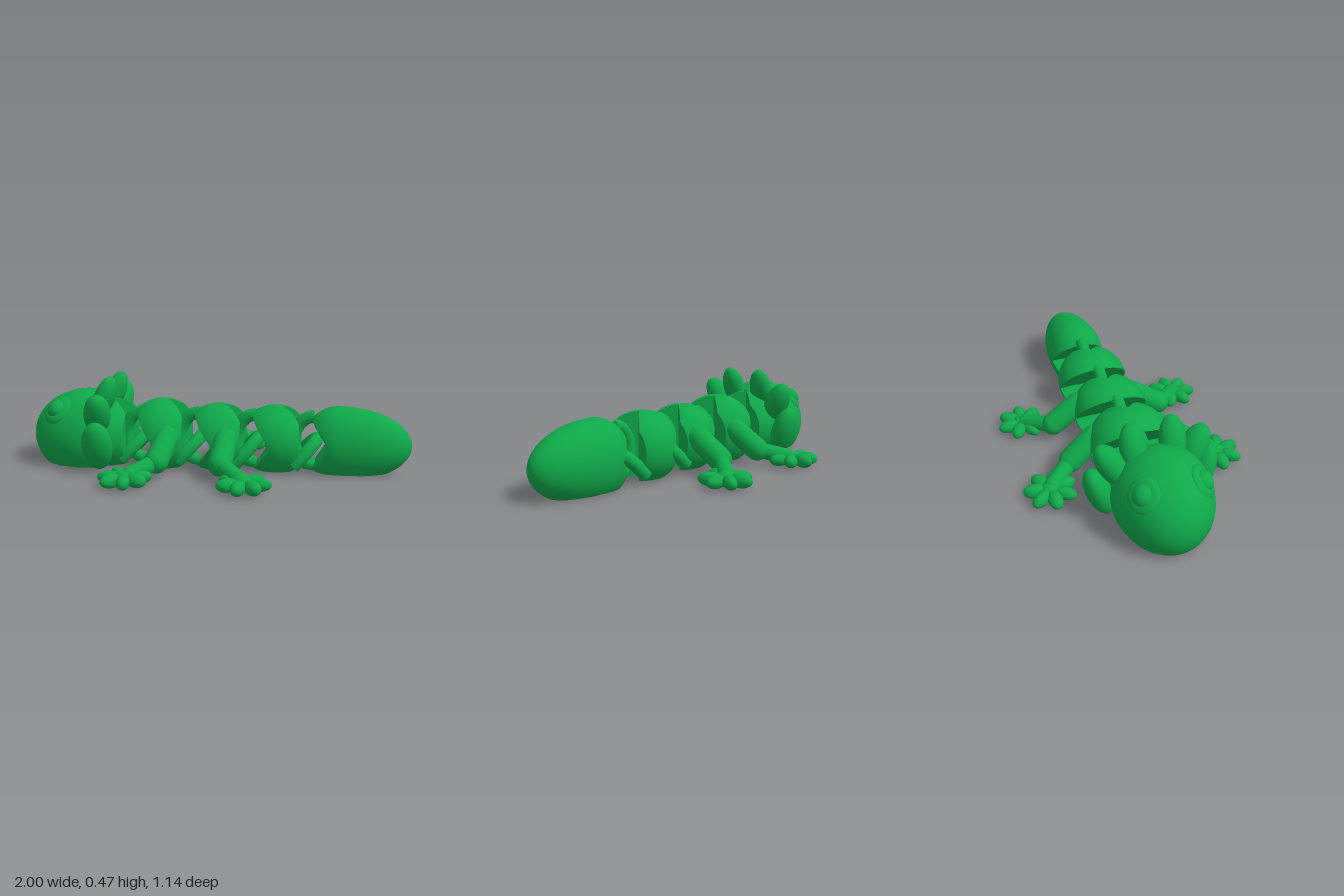
import * as THREE from 'three';
import { toCreasedNormals } from 'three/addons/utils/BufferGeometryUtils.js';

const green = new THREE.MeshStandardMaterial({ color: 0x0fa84a });
const V = (x, y, z) => new THREE.Vector3(x, y, z);

// Move every vertex by a rule, then press whatever is under the floor flat
function finish(geo, name, rule) {
  const p = geo.attributes.position, v = V(0, 0, 0);
  for (let i = 0; i < p.count; i++) {
    v.fromBufferAttribute(p, i);
    if (rule) rule(v);
    p.setXYZ(i, v.x, Math.max(v.y, 0), v.z);
  }
  geo.deleteAttribute('normal');
  const mesh = new THREE.Mesh(toCreasedNormals(geo, 0.6), green);
  mesh.name = name;
  return mesh;
}

// Egg with poles along x, its ends trimmed by front(y) and rear(z)
function bodyPart(name, c, xFront, xRear, ry, rz, front, rear) {
  const geo = new THREE.SphereGeometry(1, 80, 64).rotateZ(Math.PI / 2);
  return finish(geo, name, v => {
    v.set(c.x + v.x * (v.x < 0 ? xFront : xRear), c.y + v.y * ry, v.z * rz);
    if (front) v.x = Math.max(v.x, front(v.y));
    if (rear) v.x = Math.min(v.x, rear(v.z));
  });
}

// Wedge seen from the side (front end) and from above (rear end)
const frontNotch = tip => y => tip - 0.75 * Math.abs(y - 0.14);
const rearNotch = tip => z => Math.min(tip + Math.abs(z), tip + 0.1);

// Ellipsoid with its long axis (local y) along a direction
function blob(name, c, dir, rx, ry, rz) {
  const q = new THREE.Quaternion().setFromUnitVectors(V(0, 1, 0), dir.clone().normalize());
  const geo = new THREE.SphereGeometry(1, 24, 16);
  geo.applyMatrix4(new THREE.Matrix4().compose(c, q, V(rx, ry, rz)));
  return finish(geo, name);
}

// Round-ended limb between two points
function limb(name, a, b, r) {
  const d = b.clone().sub(a);
  const geo = new THREE.CapsuleGeometry(r, d.length(), 8, 24);
  const q = new THREE.Quaternion().setFromUnitVectors(V(0, 1, 0), d.normalize());
  geo.applyMatrix4(new THREE.Matrix4().compose(a.clone().add(b).multiplyScalar(0.5), q, V(1, 1, 1)));
  return finish(geo, name);
}

// Half ring: centre + u*cos + w*sin over half a turn
function halfRing(name, c, u, w, r) {
  const pts = [];
  for (let i = 0; i <= 12; i++) {
    const a = Math.PI * i / 12;
    pts.push(c.clone().addScaledVector(u, Math.cos(a)).addScaledVector(w, Math.sin(a)));
  }
  return finish(new THREE.TubeGeometry(new THREE.CatmullRomCurve3(pts), 32, r, 14), name);
}

function leg(name, hip, knee, ankle, s) {
  const g = new THREE.Group();
  g.name = name;
  const [a, b, c] = [hip, knee, ankle].map(p => V(p[0], p[1], p[2] * s));
  g.add(limb('upperLeg', a, b, 0.06), limb('lowerLeg', b, c, 0.042));
  // Foot: a ring of seven petal toes around a small pad
  const toward = Math.sign(c.x - b.x);
  const foot = V(c.x + toward * 0.02, 0.035, c.z + 0.015 * s);
  g.add(blob('footPad', foot, V(0, 1, 0), 0.05, 0.04, 0.05));
  for (let i = 0; i < 7; i++) {
    const t = 0.2 + i * Math.PI * 2 / 7;
    const dir = V(-toward * Math.sin(t), 0, s * Math.cos(t));
    g.add(blob('toe', foot.clone().addScaledVector(dir, 0.075), dir, 0.033, 0.06, 0.036));
  }
  return g;
}

export function createModel() {
  const model = new THREE.Group();

  // Head and neck share the same notched rear
  const headRear = rearNotch(-0.57);
  model.add(bodyPart('head', V(-0.7, 0.145, 0), 0.3, 0.23, 0.245, 0.235, null, headRear));
  model.add(bodyPart('neck', V(-0.58, 0.15, 0), 0.2, 0.2, 0.19, 0.2, null, headRear));

  // Three body segments
  const sizes = [[0.2, 0.21], [0.182, 0.195], [0.182, 0.19]];
  sizes.forEach(([ry, rz], i) => {
    const x = -0.29 + i * 0.3;
    model.add(bodyPart('bodySegment' + (i + 1), V(x, 0.15, 0), 0.2, 0.2, ry, rz,
      frontNotch(x - 0.01), rearNotch(x + 0.025)));
  });
  model.add(bodyPart('tail', V(0.63, 0.14, 0), 0.18, 0.37, 0.195, 0.157, frontNotch(0.59)));

  // Interlocked half rings at the four joints
  for (let i = 0; i < 4; i++) {
    const x = -0.6 + i * 0.3;
    model.add(halfRing('uprightLink', V(x + 0.21, 0.15, 0), V(0, 0.13, 0), V(-0.105, 0, 0), 0.033));
    model.add(halfRing('slantedLink', V(x + 0.11, 0.04, 0), V(0, 0, 0.115), V(0.11, 0.12, 0), 0.034));
  }

  for (const s of [1, -1]) {
    // Eyes: a shallow rim with a raised ball
    const look = V(-0.36, 0.65, 0.67 * s);
    const eye = V(-0.825, 0.293, 0.14 * s);
    model.add(blob('eyeRim', eye, look, 0.082, 0.025, 0.082));
    model.add(blob('eyeball', eye.clone().addScaledVector(look, 0.005), look, 0.052, 0.042, 0.052));

    // Three gills fanned round the back of the head
    model.add(blob('upperGill', V(-0.585, 0.355, 0.095 * s), V(0.4, 1, 0.05 * s), 0.055, 0.125, 0.066));
    model.add(blob('middleGill', V(-0.59, 0.29, 0.2 * s), V(0.2, 1, 0.6 * s), 0.07, 0.125, 0.066));
    model.add(blob('lowerGill', V(-0.575, 0.14, 0.26 * s), V(0.05, 1, 0.35 * s), 0.08, 0.135, 0.062));

    model.add(leg('frontLeg', [-0.23, 0.18, 0.17], [-0.255, 0.085, 0.3], [-0.36, 0.045, 0.425], s));
    model.add(leg('rearLeg', [0.07, 0.18, 0.16], [0.065, 0.085, 0.3], [0.18, 0.045, 0.425], s));
  }
  return model;
}
